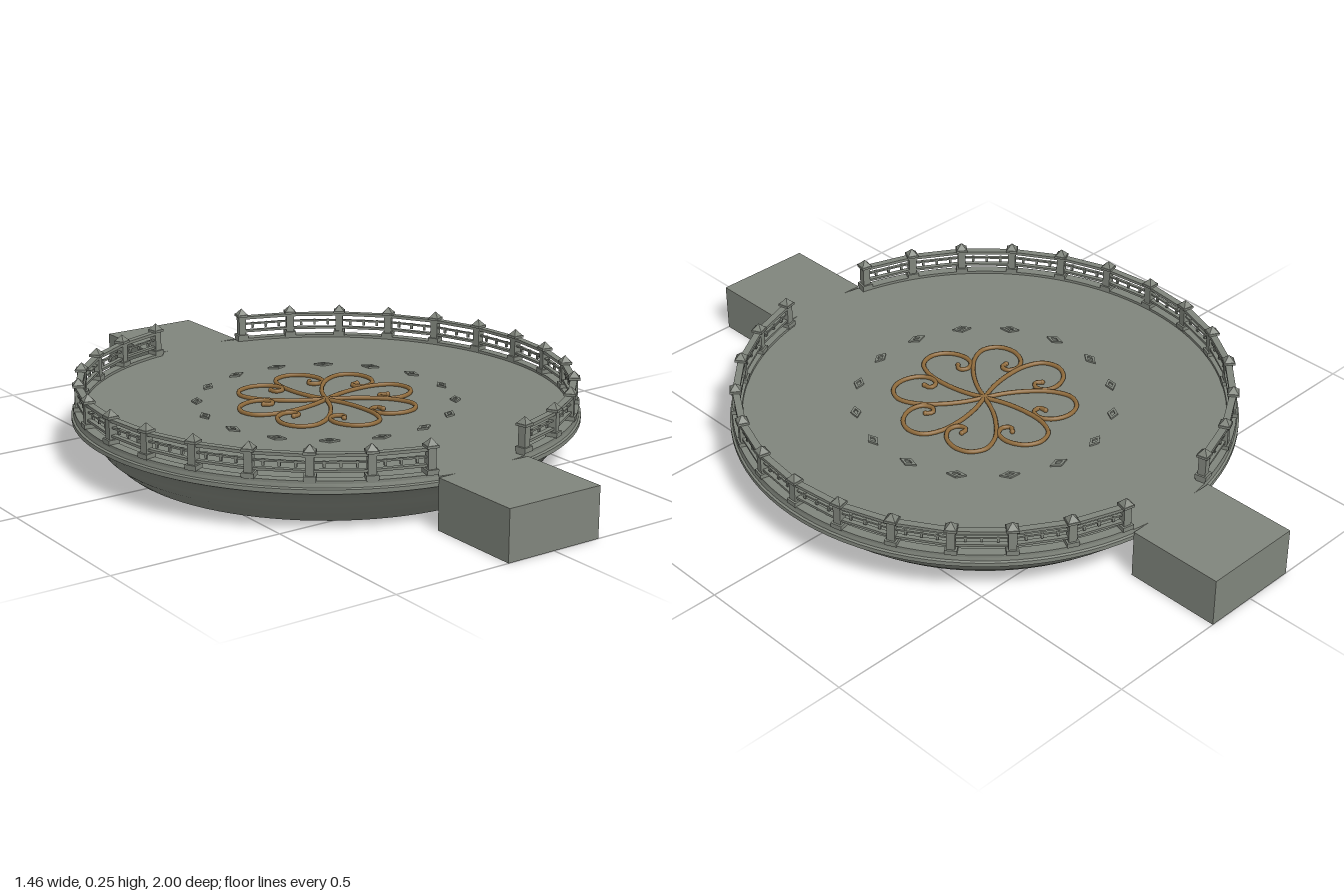
import * as THREE from 'three';
import { toCreasedNormals } from 'three/addons/utils/BufferGeometryUtils.js';

const DECK = 0.145, POST_R = 0.708, STEP = Math.PI * 2 / 28;

export function createModel() {
  const model = new THREE.Group();
  const stone = new THREE.MeshStandardMaterial({ color: 0x80857c });
  stone.name = 'stone';
  const bronze = new THREE.MeshStandardMaterial({ color: 0x8f6b3c });
  bronze.name = 'bronze';

  const add = (parent, name, geometry, material, x = 0, y = 0, z = 0) => {
    const mesh = new THREE.Mesh(geometry, material);
    mesh.name = name;
    mesh.position.set(x, y, z);
    parent.add(mesh);
    return mesh;
  };

  // Round platform with a bowl-shaped underside and moulded rim
  const profile = [
    [0, 0], [0.6, 0], [0.615, 0.012], [0.632, 0.03], [0.648, 0.042], [0.668, 0.068], [0.69, 0.093],
    [0.71, 0.11], [0.73, 0.12], [0.73, 0.132], [0.724, 0.135], [0.722, DECK], [0, DECK],
  ].map(([r, y]) => new THREE.Vector2(r, y));
  add(model, 'platform', toCreasedNormals(new THREE.LatheGeometry(profile, 96), 0.5), stone);

  // Bridge stubs, front and back
  for (const s of [1, -1]) {
    add(model, s > 0 ? 'frontBridge' : 'backBridge',
      new THREE.BoxGeometry(0.3, DECK, 0.284), stone, 0, DECK / 2, s * 0.858);
  }

  // Curbs and balustrades, one arc on each side
  const postParts = [
    ['postBase', new THREE.BoxGeometry(0.034, 0.014, 0.034), 0.158],
    ['postShaft', new THREE.BoxGeometry(0.023, 0.06, 0.023), 0.194],
    ['postCap', new THREE.BoxGeometry(0.034, 0.007, 0.034), 0.2265],
    ['postFinial', new THREE.ConeGeometry(0.022, 0.019, 4).rotateY(Math.PI / 4).toNonIndexed(), 0.239],
  ];
  postParts[3][1].computeVertexNormals();

  const chord = 2 * POST_R * Math.sin(STEP / 2);
  const midR = POST_R * Math.cos(STEP / 2);
  const topRail = new THREE.BoxGeometry(0.02, 0.009, chord);
  const thinRail = new THREE.BoxGeometry(0.009, 0.005, chord);
  const lowRail = new THREE.BoxGeometry(0.014, 0.007, chord);
  const pendant = new THREE.BoxGeometry(0.007, 0.018, 0.007);

  const curbShape = new THREE.Shape();
  curbShape.absarc(0, 0, 0.722, -6.1 * STEP, 6.1 * STEP, false);
  curbShape.absarc(0, 0, 0.694, 6.1 * STEP, -6.1 * STEP, true);
  curbShape.closePath();
  const curbGeometry = toCreasedNormals(
    new THREE.ExtrudeGeometry(curbShape, { depth: 0.008, bevelEnabled: false, curveSegments: 48 })
      .rotateX(-Math.PI / 2), 0.5);

  for (const side of [0, 1]) {
    const railing = new THREE.Group();
    railing.name = side ? 'rightBalustrade' : 'leftBalustrade';
    railing.rotation.y = side * Math.PI;
    model.add(railing);
    add(railing, 'curb', curbGeometry, stone, 0, DECK, 0);

    for (let i = -6; i <= 6; i++) {
      const post = new THREE.Group();
      post.name = 'post';
      post.rotation.y = i * STEP;
      railing.add(post);
      for (const [name, geometry, y] of postParts) add(post, name, geometry, stone, POST_R, y, 0);
      if (i === 6) continue;

      // Rails spanning to the next post
      const bay = new THREE.Group();
      bay.name = 'railBay';
      bay.rotation.y = (i + 0.5) * STEP;
      railing.add(bay);
      add(bay, 'topRail', topRail, stone, midR, 0.219, 0);
      add(bay, 'middleRail', thinRail, stone, midR, 0.198, 0);
      add(bay, 'lowRail', lowRail, stone, midR, 0.175, 0);
      for (const k of [-1, 0, 1]) add(bay, 'pendant', pendant, stone, midR, 0.193, k * chord * 0.27);
    }
  }

  // Ring of small diamond frames set on the deck
  const diamond = (w, h) => [[w, 0], [0, h], [-w, 0], [0, -h]].map(([x, y]) => new THREE.Vector2(x, y));
  const frame = new THREE.Shape(diamond(0.028, 0.015));
  frame.holes.push(new THREE.Path(diamond(0.014, 0.007).reverse()));
  const frameGeometry = new THREE.ExtrudeGeometry(frame, { depth: 0.005, bevelEnabled: false })
    .rotateX(-Math.PI / 2);
  for (let i = 0; i < 16; i++) {
    const a = (i + 0.5) * Math.PI / 8;
    const inlay = add(model, 'diamondInlay', frameGeometry, stone,
      Math.sin(a) * 0.373, DECK, Math.cos(a) * 0.373);
    inlay.rotation.y = a;
  }

  // Eight bronze scrolls curling out from the centre
  const scrollPath = new THREE.CatmullRomCurve3([
    [0, 0], [-0.022, -0.06], [-0.034, -0.13], [-0.031, -0.2], [-0.006, -0.25], [0.04, -0.264],
    [0.083, -0.242], [0.105, -0.195], [0.096, -0.155], [0.068, -0.142], [0.05, -0.158], [0.062, -0.175],
  ].map(([x, z]) => new THREE.Vector3(x, 0, z)));
  const scrollGeometry = new THREE.TubeGeometry(scrollPath, 64, 0.0065, 8);
  const tip = new THREE.SphereGeometry(0.0075, 10, 8);
  for (let i = 0; i < 8; i++) {
    const scroll = new THREE.Group();
    scroll.name = 'scroll';
    scroll.position.y = DECK + 0.005;
    scroll.rotation.y = i * Math.PI / 4;
    model.add(scroll);
    add(scroll, 'scrollStem', scrollGeometry, bronze);
    add(scroll, 'scrollTip', tip, bronze, 0.062, 0, -0.175);
  }

  return model;
}
